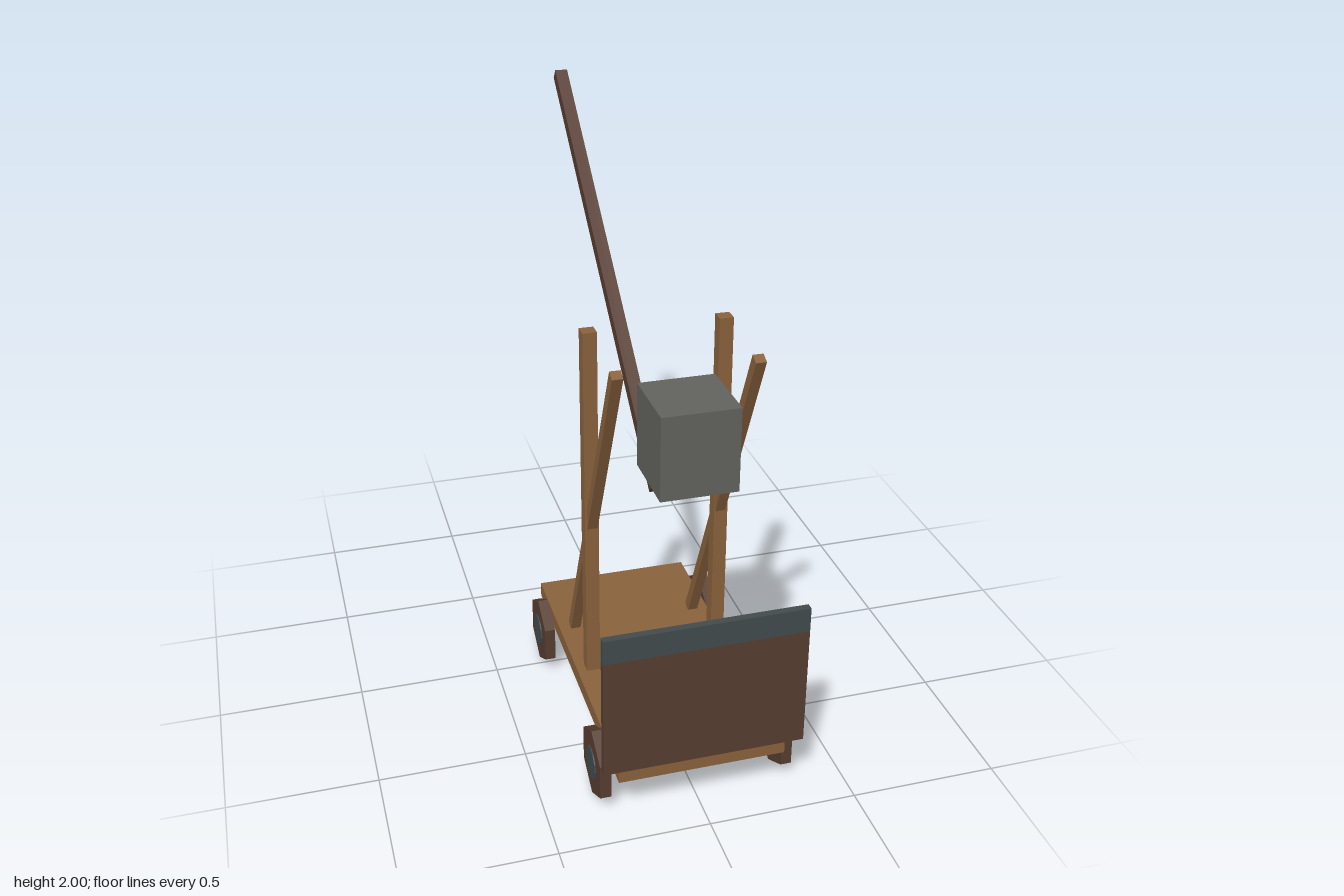
import * as THREE from 'three';

export function createModel() {
  const model = new THREE.Group();
  model.name = 'siegeEngine';

  const paint = (name, color) => {
    const m = new THREE.MeshStandardMaterial({ color, flatShading: true });
    m.name = name;
    return m;
  };
  const wood = paint('wood', 0x8a623d);
  const darkWood = paint('darkWood', 0x573d31);
  const iron = paint('iron', 0x424b4c);
  const stone = paint('stone', 0x62635e);

  const add = (name, geometry, material, x, y, z, tilt = 0) => {
    const mesh = new THREE.Mesh(geometry, material);
    mesh.name = name;
    mesh.position.set(x, y, z);
    mesh.rotation.x = tilt;
    model.add(mesh);
    return mesh;
  };
  const box = (w, h, d) => new THREE.BoxGeometry(w, h, d);
  const deg = THREE.MathUtils.degToRad;

  // Cart bed
  add('deck', box(0.56, 0.055, 1.12), wood, 0, 0.185, 0.35);

  // Front shield with an iron strip along its top
  add('shield', box(0.67, 0.42, 0.025), darkWood, 0, 0.425, 0.917);
  add('shieldStrip', box(0.67, 0.085, 0.025), iron, 0, 0.6775, 0.917);

  // Throwing arm and counterweight
  add('throwingArm', box(0.045, 0.045, 1.687), darkWood, 0, 1.44, -0.27, deg(40));
  add('counterweight', box(0.25, 0.28, 0.25), stone, 0, 1.245, 0.69);

  // Discs turned to lie along x, with a corner pointing up
  const disc = (radius, width, sides) =>
    new THREE.CylinderGeometry(radius, radius, width, sides)
      .rotateY(Math.PI / 6).rotateZ(Math.PI / 2);
  const wheelGeo = disc(0.125, 0.037, 6);
  const hubGeo = disc(0.057, 0.046, 12);

  for (const side of [-1, 1]) {
    // Upright posts and leaning braces
    add('post', box(0.047, 1.275, 0.047), wood, side * 0.225, 0.8475, 0.356);
    add('brace', box(0.035, 1.392, 0.035), wood, side * 0.223, 0.845, 0.39, deg(25));

    // Wheels and hubs
    for (const z of [-0.037, 0.75]) {
      add('wheel', wheelGeo, darkWood, side * 0.31, 0.125, z);
      add('hub', hubGeo, iron, side * 0.31, 0.125, z);
    }
  }

  return model;
}
